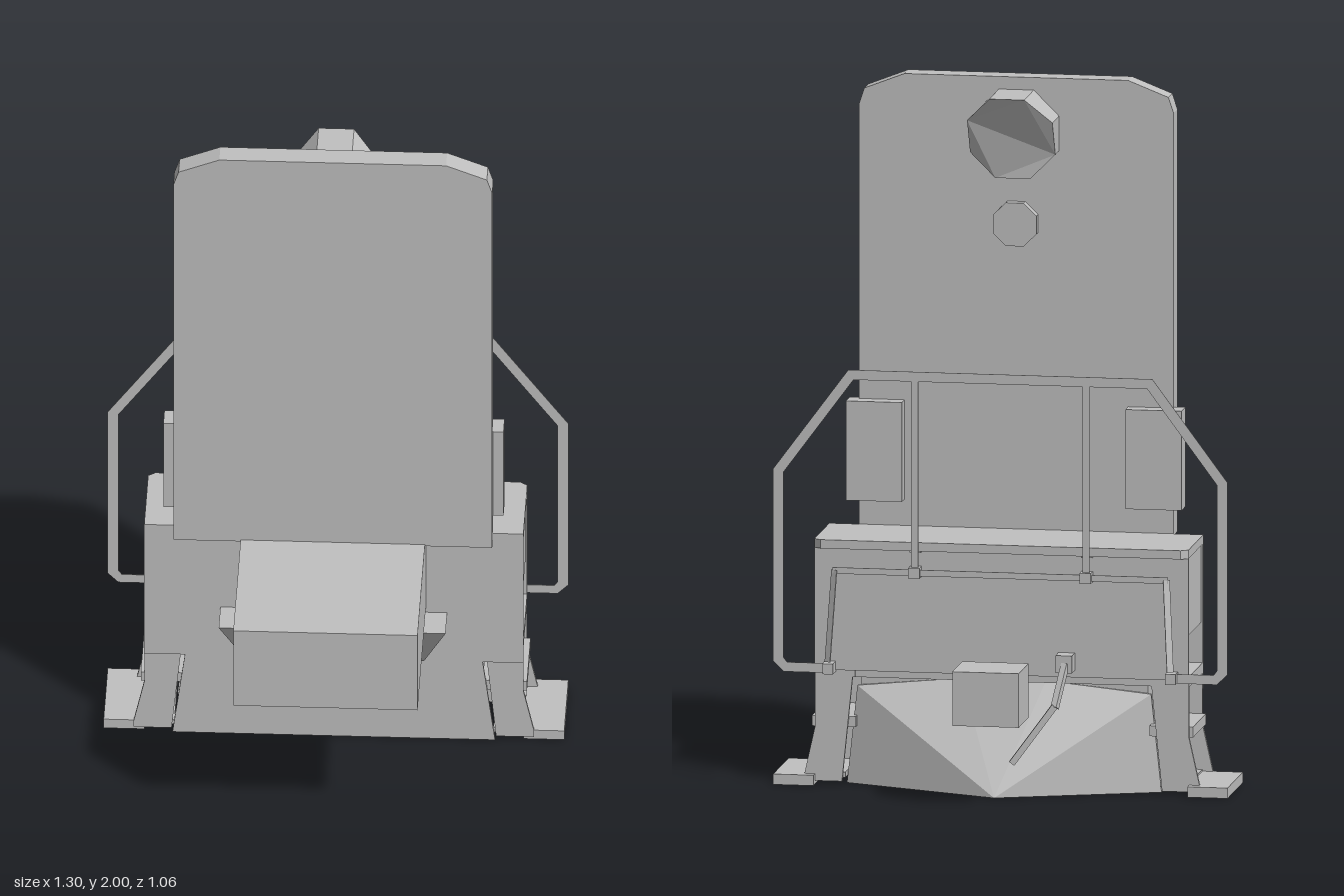
import * as THREE from 'three';
import { ConvexGeometry } from 'three/addons/geometries/ConvexGeometry.js';

export function createModel() {
  const model = new THREE.Group();
  const grey = new THREE.MeshStandardMaterial({ color: 0xc0c0c0, flatShading: true, side: THREE.DoubleSide });
  grey.name = 'grey';

  const add = (name, geometry) => {
    const mesh = new THREE.Mesh(geometry, grey);
    mesh.name = name;
    model.add(mesh);
    return mesh;
  };
  // Box given by its minimum and maximum on each axis
  const box = (name, x0, x1, y0, y1, z0, z1) => {
    const g = new THREE.BoxGeometry(x1 - x0, y1 - y0, z1 - z0);
    g.translate((x0 + x1) / 2, (y0 + y1) / 2, (z0 + z1) / 2);
    return add(name, g);
  };
  // Outline in x and y, extruded from z0 to z1
  const prism = (pts, z0, z1) => {
    const shape = new THREE.Shape(pts.map(([x, y]) => new THREE.Vector2(x, y)));
    const g = new THREE.ExtrudeGeometry(shape, { depth: z1 - z0, bevelEnabled: false });
    return g.translate(0, 0, z0);
  };
  const convex = (pts) => new ConvexGeometry(pts.map((p) => new THREE.Vector3(...p)));
  const mirrored = (pts) => [...pts, ...pts.map(([x, y]) => [-x, y]).reverse()];
  // Straight square bar between two points
  const bar = (name, a, b, w, d = w) => {
    const p = new THREE.Vector3(...a), q = new THREE.Vector3(...b);
    const mesh = add(name, new THREE.BoxGeometry(w, d, p.distanceTo(q)));
    mesh.position.copy(p).add(q).multiplyScalar(0.5);
    mesh.lookAt(q);
  };

  // Tall end wall with clipped top corners
  add('endWall', prism(mirrored([[0.45, 0.7], [0.45, 1.91], [0.435, 1.955], [0.32, 2]]), 0.01, 0.075));

  // Long box and wedge on the front
  box('frontBox', -0.26, 0.26, 0.45, 0.705, 0, 0.53);
  add('frontWedge', convex([-1, 1].flatMap((s) => [
    [s * 0.32, 0.43, 0.115], [s * 0.32, 0.43, 0], [s * 0.255, 0.27, 0.02], [s * 0.255, 0.27, 0],
  ])));

  // Platform body, top deck with clipped rear corners
  const deck = prism(mirrored([[0.535, 0], [0.535, 0.235], [0.515, 0.25]]), 0.68, 0.705);
  add('deck', deck.rotateX(-Math.PI / 2));
  box('platformBody', -0.53, 0.53, 0.455, 0.68, -0.23, 0);
  box('platformCore', -0.44, 0.44, 0.31, 0.455, -0.225, 0);
  box('frontPlate', -0.535, 0.535, 0.265, 0.705, 0, 0.01);
  box('rearPlate', -0.535, 0.535, 0.33, 0.68, -0.235, -0.225);
  add('lowerFrontPlate', prism(mirrored([[0.455, 0], [0.42, 0.265]]), 0, 0.01));

  // Lower core and pointed plough
  box('lowerCore', -0.41, 0.41, 0.03, 0.31, -0.18, -0.07);
  add('plough', convex([[0, 0, -0.36], ...[-1, 1].flatMap((s) => [
    [s * 0.45, 0, -0.19], [s * 0.42, 0.28, -0.19], [s * 0.12, 0.31, -0.19],
    [s * 0.45, 0, -0.18], [s * 0.42, 0.28, -0.18],
  ])]));

  for (const s of [-1, 1]) {
    // Step frames, front and rear
    const leg = [[0.535, 0.335], [0.535, 0.165], [0.565, 0.03], [0.565, 0.01], [0.458, 0.01], [0.425, 0.335]]
      .map(([x, y]) => [s * x, y]);
    add('frontStepFrame', prism(leg, -0.005, 0.005));
    add('rearStepFrame', prism(leg, -0.228, -0.218));

    // Steps
    const step = (x0, x1, y0, y1, z0) =>
      box('step', Math.min(s * x0, s * x1), Math.max(s * x0, s * x1), y0, y1, z0, 0);
    step(0.535, 0.65, 0, 0.03, -0.255);
    step(0.45, 0.535, 0.02, 0.035, -0.218);
    step(0.42, 0.545, 0.165, 0.195, -0.218);
    step(0.42, 0.535, 0.31, 0.34, -0.228);

    // Equipment boxes beside the wall
    box('sideBox', s * 0.4 - 0.08, s * 0.4 + 0.08, 0.78, 1.065, -0.035, 0.03);

    // Handrail brackets
    box('railBracket', s * 0.49 - 0.015, s * 0.49 + 0.015, 0.325, 0.355, -0.28, -0.23);
    box('postBracket', s * 0.245 - 0.016, s * 0.245 + 0.016, 0.605, 0.635, -0.27, -0.23);
    box('postFoot', s * 0.245 - 0.016, s * 0.245 + 0.016, 0.675, 0.705, -0.245, -0.225);
    box('railPost', s * 0.245 - 0.01, s * 0.245 + 0.01, 0.61, 1.18, -0.256, -0.254);

    // Sloping ends of the flat rear rod
    bar('rodEnd', [s * 0.49, 0.36, -0.28], [s * 0.475, 0.62, -0.256], 0.02, 0.003);
  }
  box('rearRod', -0.48, 0.48, 0.61, 0.628, -0.257, -0.254);

  // Flat handrail bent around the platform
  const outer = [[0.49, 0.325], [0.62, 0.325], [0.65, 0.355], [0.65, 0.905], [0.435, 1.195]];
  const inner = [[0.42, 1.167], [0.62, 0.897], [0.62, 0.365], [0.61, 0.352], [0.49, 0.352]];
  const outline = [...outer, ...outer.map(([x, y]) => [-x, y]).reverse(),
    ...inner.map(([x, y]) => [-x, y]).reverse(), ...inner.slice().reverse()];
  // Trace the outer edge one way and the inner edge back
  const back = inner.slice().reverse();
  const loop = [...outer, ...outer.map(([x, y]) => [-x, y]).reverse(),
    ...back.map(([x, y]) => [-x, y]), ...back.slice().reverse()];
  add('handrail', prism(loop.length === outline.length ? loop : outline, -0.256, -0.254));

  // Coupler and its release lever
  box('couplerShank', -0.05, 0.05, 0.27, 0.355, -0.37, -0.22);
  box('couplerHead', -0.1, 0.09, 0.235, 0.39, -0.53, -0.365);
  box('leverBracket', -0.21, -0.163, 0.35, 0.4, -0.285, -0.23);
  bar('leverArm', [-0.19, 0.375, -0.28], [-0.17, 0.26, -0.34], 0.018);
  bar('leverHandle', [-0.17, 0.265, -0.338], [-0.05, 0.1, -0.353], 0.018);

  // Eight-sided lamps, the large one with a raked hood
  const octagon = (cy, r, k) => [[k, r], [r, k], [r, -k], [k, -r], [-k, -r], [-r, -k], [-r, k], [-k, r]]
    .map(([x, y]) => [x, cy + y]);
  const hood = prism(octagon(1.842, 0.122, 0.05), -0.05, 0.02);
  const pos = hood.attributes.position;
  for (let i = 0; i < pos.count; i++) {
    const y = pos.getY(i);
    if (pos.getZ(i) < 0) pos.setZ(i, y > 1.93 ? -0.15 : y > 1.85 ? -0.1 : -0.05);
  }
  hood.computeVertexNormals();
  add('headlamp', hood);
  add('smallLamp', prism(octagon(1.582, 0.062, 0.026), -0.018, 0.015));

  return model;
}
